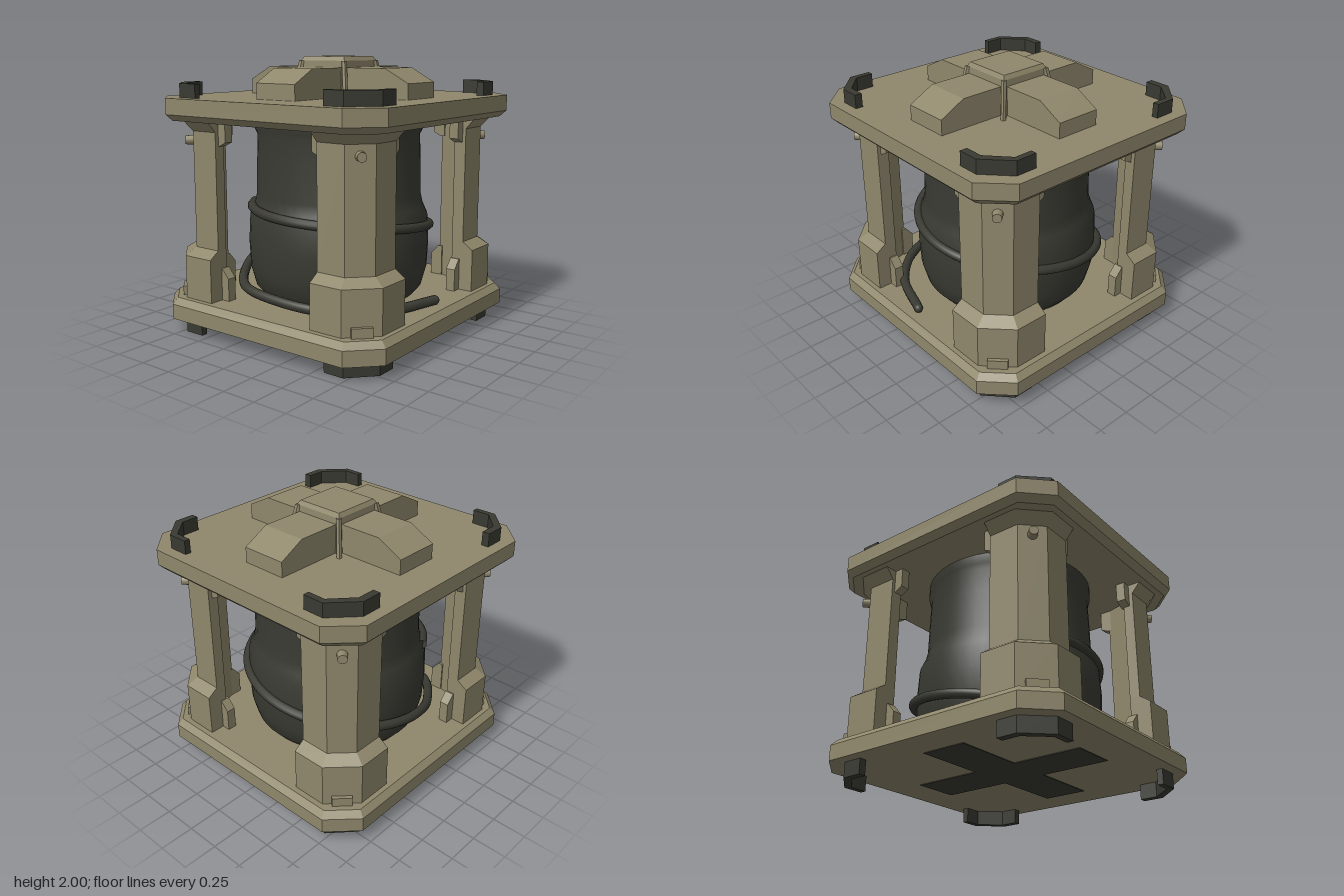
import * as THREE from 'three';

const beige = new THREE.MeshStandardMaterial({ color: 0x90886c });
beige.name = 'khaki metal';
const dark = new THREE.MeshStandardMaterial({ color: 0x3a3a33 });
dark.name = 'dark rubber';

// Closed solid through horizontal sections [y, [[x, z], ...]], flat-shaded
function loft(sections) {
  const secs = sections.map(([y, pts]) => {
    const p = pts.map(([x, z]) => new THREE.Vector2(x, -z));
    if (THREE.ShapeUtils.area(p) < 0) p.reverse();
    return { y, p };
  });
  const out = [];
  const put = (s, i) => out.push(s.p[i].x, s.y, -s.p[i].y);
  const n = secs[0].p.length;
  for (let k = 0; k + 1 < secs.length; k++) {
    const a = secs[k], b = secs[k + 1];
    for (let i = 0; i < n; i++) {
      const j = (i + 1) % n;
      put(a, i); put(a, j); put(b, j);
      put(a, i); put(b, j); put(b, i);
    }
  }
  const lo = secs[0], hi = secs[secs.length - 1];
  for (const [a, b, c] of THREE.ShapeUtils.triangulateShape(hi.p, [])) { put(hi, a); put(hi, b); put(hi, c); }
  for (const [a, b, c] of THREE.ShapeUtils.triangulateShape(lo.p, [])) { put(lo, a); put(lo, c); put(lo, b); }
  const g = new THREE.BufferGeometry();
  g.setAttribute('position', new THREE.Float32BufferAttribute(out, 3));
  g.computeVertexNormals();
  return g;
}

// Rectangle with cut corners, shrunk by d
function octagon(d) {
  const x = 0.965 - d, z = 0.99 - d, c = 0.195 - d * 0.586;
  return [[x, z - c], [x - c, z], [c - x, z], [-x, z - c], [-x, c - z], [c - x, -z], [x - c, -z], [x, c - z]];
}

// Pillar plan with its outer faces pushed out by o
const pillarPlan = (o) => [
  [0.45, 0.83 + o], [0.67 + o * 0.4, 0.83 + o], [0.81 + o, 0.69 + o * 0.4],
  [0.81 + o, 0.46], [0.72, 0.46], [0.66, 0.68], [0.45, 0.75],
];
const bumperPlan = [
  [0.56, 0.86], [0.69, 0.86], [0.825, 0.71], [0.825, 0.58],
  [0.88, 0.58], [0.88, 0.73], [0.715, 0.905], [0.56, 0.905],
];
const rect = (x0, x1, z0, z1) => [[x0, z0], [x1, z0], [x1, z1], [x0, z1]];
const square = (h) => rect(-h, h, -h, h);

export function createModel() {
  const model = new THREE.Group();
  const add = (name, geometry, material, parent = model) => {
    const m = new THREE.Mesh(geometry, material);
    m.name = name;
    parent.add(m);
    return m;
  };

  // Base and roof plates
  add('basePlate', loft([[0.11, octagon(0)], [0.22, octagon(0)], [0.265, octagon(0.04)]]), beige);
  add('roofPlate', loft([[1.555, octagon(0.045)], [1.6, octagon(0)], [1.715, octagon(0)]]), beige);

  // Four corners, each mirrored from the +x +z one
  for (const sx of [1, -1]) for (const sz of [1, -1]) {
    const corner = new THREE.Group();
    corner.name = (sz > 0 ? 'front' : 'back') + (sx > 0 ? 'Left' : 'Right') + 'Corner';
    model.add(corner);
    const mir = (secs) => loft(secs.map(([y, pts]) => [y, pts.map(([x, z]) => [x * sx, z * sz])]));

    add('pillar', mir([[0.26, 0.08], [0.58, 0.08], [0.635, 0], [1.48, 0], [1.56, 0.07]]
      .map(([y, o]) => [y, pillarPlan(o)])), beige, corner);

    // Fins on the pillar edges, above and below
    for (const swap of [false, true]) {
      const plan = (e) => rect(e, 0.48, 0.73, 0.8).map(([x, z]) => (swap ? [z - 0.015, x + 0.005] : [x, z]));
      add('lowerFin', mir([[0.26, plan(0.385)], [0.43, plan(0.385)], [0.5, plan(0.445)]]), beige, corner);
      add('upperFin', mir([[1.38, plan(0.445)], [1.41, plan(0.385)], [1.56, plan(0.385)]]), beige, corner);
    }

    // Foot and roof bumper
    add('foot', mir([[0, bumperPlan], [0.115, bumperPlan]]), dark, corner);
    add('roofBumper', mir([[1.71, bumperPlan], [1.815, bumperPlan]]), dark, corner);

    // Bolt and foot block on the cut corner
    const bolt = add('bolt', new THREE.CylinderGeometry(0.032, 0.037, 0.09, 12), beige, corner);
    bolt.position.set(sx * 0.75, 1.405, sz * 0.77);
    bolt.quaternion.setFromUnitVectors(new THREE.Vector3(0, 1, 0), new THREE.Vector3(sx, 0, sz).normalize());
    const block = add('cornerBlock', new THREE.BoxGeometry(0.14, 0.07, 0.04), beige, corner);
    block.position.set(sx * 0.8, 0.297, sz * 0.822);
    block.rotation.y = Math.atan2(sx, sz);

    // Gusset on the hub corner
    const gusset = (e) => [[0.19, 0.165], [e, e - 0.025], [e, e], [e - 0.025, e], [0.165, 0.19]];
    add('hubGusset', mir([[1.71, gusset(0.255)], [1.97, gusset(0.205)]]), beige, corner);
  }

  // Raised cross on the roof with a central hub
  const arm = new THREE.Shape([[-0.705, 1.71], [0.705, 1.71], [0.705, 1.825], [0.52, 1.923],
    [-0.52, 1.923], [-0.705, 1.825]].map(([x, y]) => new THREE.Vector2(x, y)));
  for (const turn of [0, Math.PI / 2]) {
    const g = new THREE.ExtrudeGeometry(arm, { depth: 0.34, bevelEnabled: false });
    g.translate(0, 0, -0.17).rotateY(turn);
    add('roofCross', g, beige);
  }
  add('hub', loft([[1.71, square(0.205)], [1.97, square(0.195)], [2, square(0.178)]]), beige);

  // Dark cross under the base
  const a = 0.17, b = 0.7;
  const crossPlan = [[a, a], [a, b], [-a, b], [-a, a], [-b, a], [-b, -a],
    [-a, -a], [-a, -b], [a, -b], [a, -a], [b, -a], [b, a]];
  add('underCross', loft([[0.105, crossPlan], [0.112, crossPlan]]), dark);

  // Drum
  const profile = [[0.58, 0.262], [0.63, 0.32], [0.665, 0.45], [0.675, 0.65], [0.665, 0.84], [0.63, 0.92],
    [0.612, 1.0], [0.607, 1.25], [0.6, 1.44], [0.62, 1.48], [0.62, 1.557]];
  const drumGeometry = new THREE.LatheGeometry(profile.map(([r, y]) => new THREE.Vector2(r, y)), 48);
  add('drum', drumGeometry, dark).material.side = THREE.DoubleSide;

  // Cable: winds down once round the drum, then trails off to the left side
  const path = [];
  for (let i = 0; i <= 24; i++) {
    const t = i / 24;
    const angle = -Math.PI / 3 + t * Math.PI * 2;
    const r = 0.645 + 0.065 * t;
    const y = 0.91 - 0.5 * Math.pow(t, 1.8);
    path.push(new THREE.Vector3(Math.sin(angle) * r, y, Math.cos(angle) * r));
  }
  for (const [x, y, z] of [[-0.35, 0.355, 0.66], [0, 0.33, 0.73], [0.4, 0.312, 0.67], [0.7, 0.305, 0.4], [0.85, 0.312, 0.01]])
    path.push(new THREE.Vector3(x, y, z));
  add('cable', new THREE.TubeGeometry(new THREE.CatmullRomCurve3(path), 160, 0.035, 10), dark);
  const tip = add('cableEnd', new THREE.SphereGeometry(0.035, 10, 8), dark);
  tip.position.copy(path[path.length - 1]);

  return model;
}
